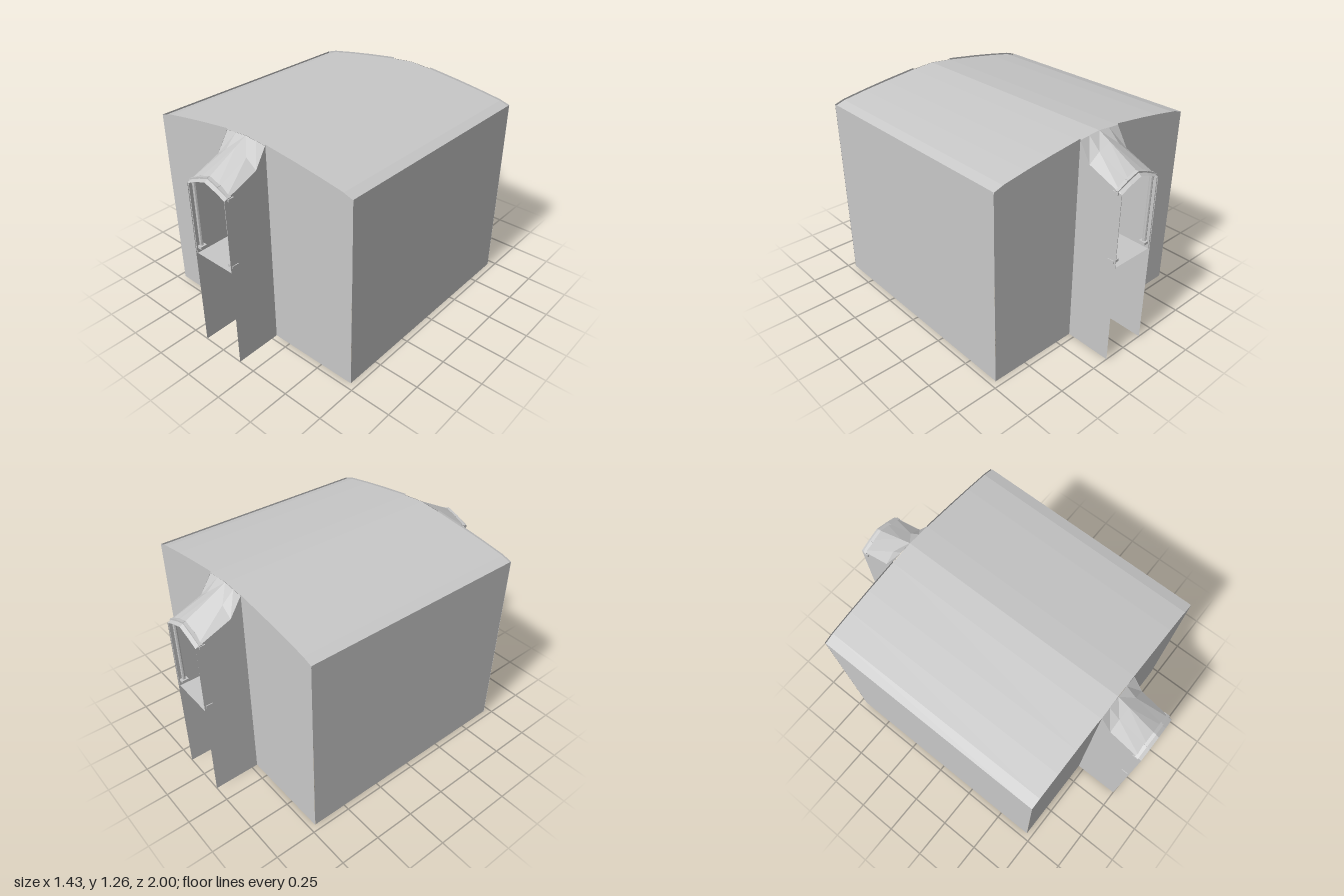
import * as THREE from 'three';

const gray = new THREE.MeshStandardMaterial({ color: 0xc8c8c8, side: THREE.DoubleSide, flatShading: true });
gray.name = 'grey canvas';

const W = 0.714;   // half width of the shelter
const D = 0.143;   // half width of the doorway
const FLOOR = 0.615;

// Skin through rows of points, each row having the same count
function loft(rows) {
  const pos = [], idx = [], n = rows[0].length;
  rows.forEach(r => r.forEach(p => pos.push(...p)));
  for (let i = 0; i < rows.length - 1; i++) {
    for (let j = 0; j < n - 1; j++) {
      const a = i * n + j, b = a + n;
      idx.push(a, b, a + 1, a + 1, b, b + 1);
    }
  }
  const g = new THREE.BufferGeometry();
  g.setAttribute('position', new THREE.Float32BufferAttribute(pos, 3));
  g.setIndex(idx);
  g.computeVertexNormals();
  return g;
}

const mirrorProfile = half => [...half.slice(1).reverse().map(([x, y]) => [-x, y]), ...half];

export function createModel() {
  const model = new THREE.Group();
  const add = (parent, geo, name, x = 0, y = 0, z = 0) => {
    const m = new THREE.Mesh(geo, gray);
    m.name = name;
    m.position.set(x, y, z);
    parent.add(m);
    return m;
  };
  const box = (parent, name, size, x, y, z) => add(parent, new THREE.BoxGeometry(...size), name, x, y, z);

  // Arched roof sheet, just below the end wall tops
  const roof = mirrorProfile([[0, 1.258], [0.145, 1.245], [0.35, 1.219], [0.5, 1.198], [0.65, 1.173], [W, 1.152]]);
  add(model, loft([-0.712, 0.712].map(z => roof.map(([x, y]) => [x, y, z]))), 'roof');

  // Side walls and the inner lining above floor level
  for (const s of [-1, 1]) {
    add(model, loft([0, 1.162].map(y => [[s * W, y, -0.712], [s * W, y, 0.712]])), 'sideWall');
    box(model, 'sideLining', [0.006, 0.53, 1.4], s * 0.703, FLOOR + 0.265, 0);
  }

  // Floor running through both doorways
  const corridor = add(model, new THREE.PlaneGeometry(2 * D, 1.99), 'corridorFloor', 0, FLOOR, 0);
  corridor.rotation.x = -Math.PI / 2;

  // Pole with a foot pad
  const pole = (parent, x, z, top) => {
    const g = new THREE.Group();
    g.name = 'pole';
    const h = top - 0.65;
    add(g, new THREE.CylinderGeometry(0.011, 0.011, h, 8), 'poleShaft', 0, 0.65 + h / 2, 0);
    box(g, 'polePad', [0.04, 0.016, 0.04], 0, 0.652, 0);
    g.position.set(x, 0, z);
    parent.add(g);
  };

  // Both ends are alike: end walls plus a covered porch
  for (const turn of [0, Math.PI]) {
    const end = new THREE.Group();
    end.name = turn ? 'backEnd' : 'frontEnd';
    end.rotation.y = turn;
    model.add(end);

    for (const s of [-1, 1]) {
      // End wall beside the doorway, with its lining
      const p = [[D, 0], [W, 0], [W, 1.162], [0.65, 1.182], [0.5, 1.207], [0.35, 1.229], [D, 1.255]];
      const panel = new THREE.Shape(p.map(([x, y]) => new THREE.Vector2(s * x, y)));
      add(end, new THREE.ShapeGeometry(panel), 'endWall', 0, 0, W);
      box(end, 'endLining', [0.555, 0.53, 0.006], s * 0.422, FLOOR + 0.265, 0.703);

      // Porch side, its top following the eave, and its lining
      const side = [[1, 1.053], [0.785, 1.137], [W, 1.25]];
      add(end, loft([side.map(([z]) => [s * D, 0, z]), side.map(([z, y]) => [s * D, y, z])]), 'porchWall');
      box(end, 'porchLining', [0.006, 0.435, 0.28], s * 0.139, FLOOR + 0.2175, 0.857);

      pole(end, s * 0.128, 0.97, 1.06);
      pole(end, s * 0.128, 0.68, 1.23);
      pole(end, s * 0.465, 0.468, 1.19);
      box(end, 'archFoot', [0.02, 0.016, 0.035], s * 0.141, 1.052, 0.964);

      // Half of the gabled porch canopy, sloping down from the main roof
      const ribs = [
        [1, [[0, 1.107], [0.075, 1.082], [D, 1.053]]],
        [0.785, [[0, 1.221], [0.075, 1.187], [D, 1.137]]],
        [W, [[0, 1.258], [0.075, 1.252], [D, 1.246]]],
      ];
      add(end, loft(ribs.map(([z, h]) => h.map(([x, y]) => [s * x, y, z]))), 'porchCanopy');
    }

    // Arch bar laid over the canopy lip
    const bar = mirrorProfile([[0, 1.122], [0.075, 1.097], [0.147, 1.062]]);
    for (let i = 0; i < bar.length - 1; i++) {
      const a = new THREE.Vector3(...bar[i], 0.97), b = new THREE.Vector3(...bar[i + 1], 0.97);
      const m = box(end, 'archBar', [a.distanceTo(b), 0.01, 0.02], 0, 0, 0);
      m.position.copy(a).add(b).multiplyScalar(0.5);
      m.rotation.z = Math.atan2(b.y - a.y, b.x - a.x);
    }
  }
  return model;
}
